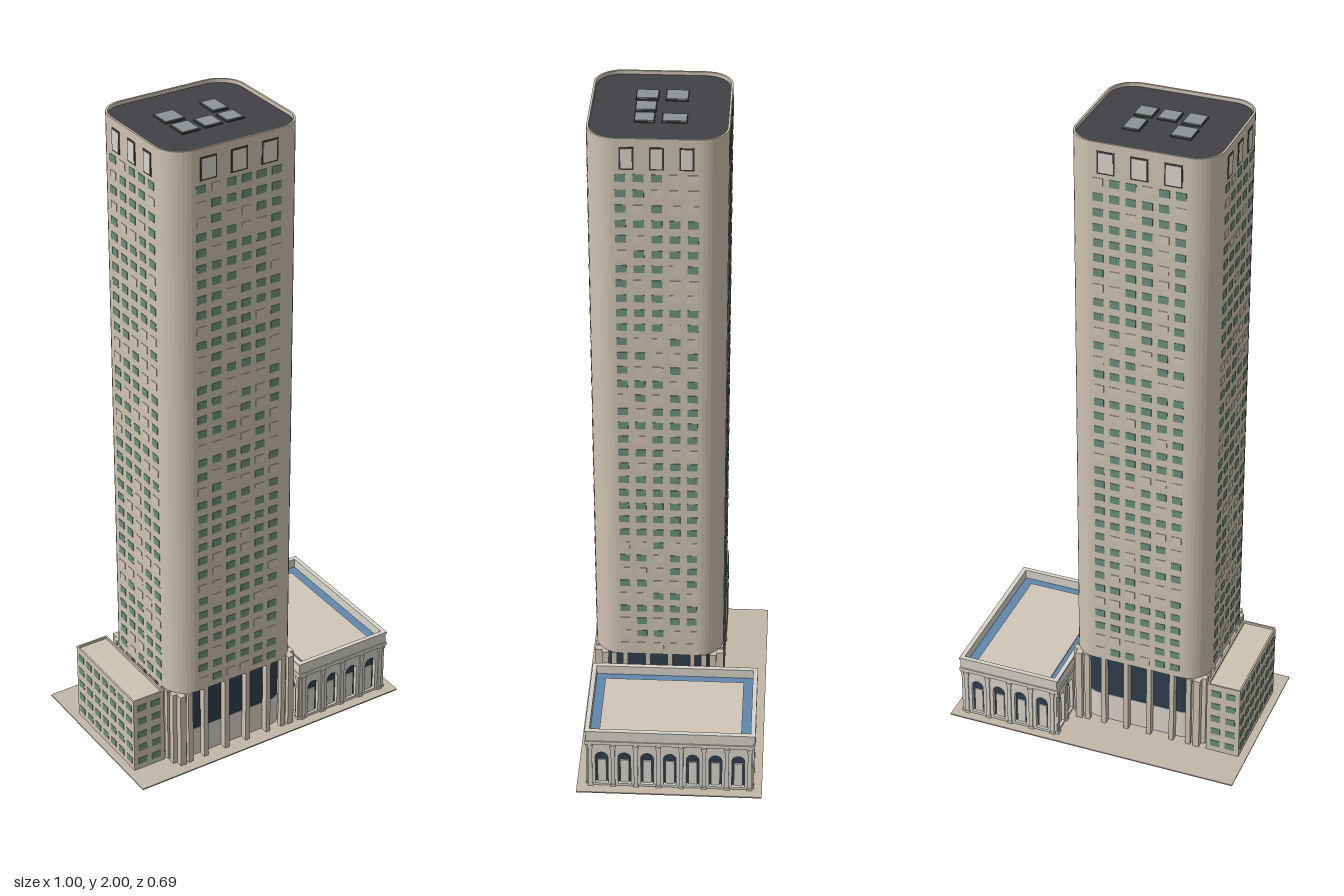
import * as THREE from 'three';
import { mergeGeometries } from 'three/addons/utils/BufferGeometryUtils.js';

const COLORS = {
  stone: 0xcdc3b2, paving: 0xc2b8a9, pale: 0xd8d4cb, terrace: 0xd0c6b8, blue: 0x5f87ad,
  slate: 0x414146, steel: 0x8d9396, glass: 0x2f3d4d, green: 0x6c8f7b, blind: 0xd2c6ba, frame: 0x3c3c3a,
};

// Rounded rectangle outline, w along x and d along z
function roundRect(w, d, r, Type = THREE.Shape) {
  const s = new Type(), a = w / 2, b = d / 2;
  s.moveTo(-a + r, -b);
  s.lineTo(a - r, -b); s.absarc(a - r, -b + r, r, -Math.PI / 2, 0);
  s.lineTo(a, b - r); s.absarc(a - r, b - r, r, 0, Math.PI / 2);
  s.lineTo(-a + r, b); s.absarc(-a + r, b - r, r, Math.PI / 2, Math.PI);
  s.lineTo(-a, -b + r); s.absarc(-a + r, -b + r, r, Math.PI, Math.PI * 1.5);
  return s;
}

export function createModel() {
  const model = new THREE.Group();
  model.name = 'highRiseBlock';
  const site = new THREE.Group();
  site.name = 'site';
  site.rotation.y = 0.147;
  model.add(site);

  // Pieces are collected by part name and colour, then merged into one mesh each
  const parts = {};
  const add = (name, color, geo, matrix) => {
    const g = geo.index ? geo.toNonIndexed() : geo;
    if (matrix) g.applyMatrix4(matrix);
    (parts[name] ??= { color, list: [] }).list.push(g);
  };
  const box = (name, color, w, h, d, x, y, z, matrix) =>
    add(name, color, new THREE.BoxGeometry(w, h, d).translate(x, y + h / 2, z), matrix);
  const slab = (name, color, shape, h, x, y, z) =>
    add(name, color, new THREE.ExtrudeGeometry(shape, { depth: h, bevelEnabled: false, curveSegments: 5 })
      .rotateX(-Math.PI / 2).translate(x, y, z));
  // Frame of one wall: local x runs along it, z = 0 is its surface and +z points out
  const wall = (x, z, angle, dist) => new THREE.Matrix4().makeTranslation(x, 0, z)
    .multiply(new THREE.Matrix4().makeRotationY(angle))
    .multiply(new THREE.Matrix4().makeTranslation(0, 0, dist));
  const walls = (x, z, w, d) => [0, 1, 2, 3].map((i) => ({
    side: i % 2, index: i, length: i % 2 ? d : w,
    m: wall(x, z, i * Math.PI / 2, (i % 2 ? w : d) / 2),
  }));
  let seed = 7;
  const random = () => (seed = (seed * 16807) % 2147483647) / 2147483647;

  box('basePlate', 'paving', 0.926, 0.004, 0.556, 0, 0, 0);

  // Tower shaft, parapet and roof
  const TX = -0.108, TZ = 0.0485, TW = 0.433, TD = 0.39, R = 0.08, LOBBY = 0.255;
  slab('towerShaft', 'stone', roundRect(TW, TD, R), 1.985 - LOBBY, TX, LOBBY, TZ);
  const rim = roundRect(TW, TD, R);
  rim.holes.push(roundRect(TW - 0.012, TD - 0.012, R - 0.006, THREE.Path));
  slab('towerParapet', 'stone', rim, 0.015, TX, 1.985, TZ);
  slab('towerRoof', 'slate', roundRect(TW - 0.012, TD - 0.012, R - 0.006), 0.004, TX, 1.985, TZ);
  for (const [x, z, w, d] of [[-0.18, 0.006, 0.058, 0.06], [-0.037, 0.006, 0.045, 0.066],
    [-0.181, 0.089, 0.052, 0.06], [-0.108, 0.089, 0.052, 0.055], [-0.038, 0.089, 0.05, 0.053]]) {
    box('roofHatchCurbs', 'frame', w + 0.004, 0.006, d + 0.004, x, 1.987, z);
    box('roofHatches', 'steel', w, 0.009, d, x, 1.987, z);
  }

  // Tower windows, crown openings and lobby columns on all four sides
  for (const { m, side } of walls(TX, TZ, TW, TD)) {
    const cols = side ? 5 : 6, pitch = side ? 0.05 : 0.048;
    for (let r = 0; r < 35; r++) {
      for (let c = 0; c < cols; c++) {
        const lit = random() < 0.3;
        box(lit ? 'blindWindows' : 'towerWindows', lit ? 'blind' : 'green', 0.03, 0.023, 0.003,
          (c - (cols - 1) / 2) * pitch, 0.276 + r * 0.0469, 0, m);
      }
    }
    const [gap, w] = side ? [0.082, 0.04] : [0.097, 0.052];
    for (const k of [-1, 0, 1]) {
      box('crownFrames', 'frame', w, 0.068, 0.003, k * gap, 1.907, 0, m);
      box('crownPanels', 'pale', w - 0.009, 0.059, 0.005, k * gap, 1.9115, 0, m);
    }
    for (const k of [-1.5, -0.5, 0.5, 1.5]) {
      box('lobbyColumns', 'stone', 0.015, LOBBY, 0.022, k * (side ? 0.068 : 0.074), 0, -0.011, m);
    }
  }

  // Recessed lobby: pale plinth below dark glazing
  slab('lobbyPlinth', 'pale', roundRect(TW - 0.05, TD - 0.05, 0.06), 0.1, TX, 0, TZ);
  slab('lobbyGlazing', 'glass', roundRect(TW - 0.052, TD - 0.052, 0.06), LOBBY - 0.1, TX, 0.1, TZ);

  // Stepped corner piers
  for (const sx of [-1, 1]) for (const sz of [-1, 1]) {
    box('cornerPiers', 'stone', 0.03, LOBBY, 0.03, TX + sx * 0.186, 0, TZ + sz * 0.168);
    box('cornerPiers', 'stone', 0.02, LOBBY, 0.02, TX + sx * 0.205, 0, TZ + sz * 0.165);
    box('cornerPiers', 'stone', 0.02, LOBBY, 0.02, TX + sx * 0.192, 0, TZ + sz * 0.187);
    box('cornerPiers', 'stone', 0.016, LOBBY, 0.016, TX + sx * 0.208, 0, TZ + sz * 0.137);
    box('cornerPiers', 'stone', 0.016, LOBBY, 0.016, TX + sx * 0.165, 0, TZ + sz * 0.187);
  }

  // Low annex on the right with rows of windows and a thin parapet
  const AX = -0.3855, AZ = 0.021, AW = 0.105, AD = 0.336;
  box('annexBody', 'stone', AW, 0.25, AD, AX, 0, AZ);
  for (const { m, side, index, length } of walls(AX, AZ, AW, AD)) {
    box('annexParapet', 'stone', length, 0.008, 0.005, 0, 0.249, -0.0025, m);
    if (index === 1) continue;
    const cols = side ? 7 : 2;
    for (let r = 0; r < 5; r++) for (let c = 0; c < cols; c++) {
      box('annexWindows', 'green', 0.03, 0.022, 0.003, (c - (cols - 1) / 2) * 0.047, 0.022 + r * 0.048, 0, m);
    }
  }

  // Arcaded pavilion on the left
  const PX = 0.2735, PZ = -0.002, PW = 0.314, PD = 0.494, WALL = 0.165;
  box('pavilionCore', 'glass', PW - 0.024, WALL, PD - 0.024, PX, 0, PZ);
  box('pavilionDeck', 'blue', PW, 0.02, PD, PX, WALL, PZ);
  box('pavilionTerrace', 'terrace', 0.242, 0.006, 0.423, PX - 0.0015, 0.183, PZ);
  for (const { m, side, length } of walls(PX, PZ, PW, PD)) {
    const bays = side ? 7 : 4, pitch = side ? 0.068 : 0.0715;
    const face = new THREE.Shape();
    face.moveTo(-length / 2, 0); face.lineTo(length / 2, 0);
    face.lineTo(length / 2, WALL); face.lineTo(-length / 2, WALL);
    for (let i = 0; i < bays; i++) {
      // Arched opening with a pale panel inside
      const x = (i - (bays - 1) / 2) * pitch, r = 0.019;
      const arch = new THREE.Path();
      arch.moveTo(x - r, 0.012); arch.lineTo(x + r, 0.012); arch.lineTo(x + r, 0.113);
      arch.absarc(x, 0.113, r, 0, Math.PI); arch.lineTo(x - r, 0.012);
      face.holes.push(arch);
      box('archPanels', 'pale', 0.026, 0.085, 0.006, x, 0.012, -0.011, m);
    }
    add('pavilionArcade', 'pale', new THREE.ExtrudeGeometry(face,
      { depth: 0.012, bevelEnabled: false, curveSegments: 8 }).translate(0, 0, -0.012), m);
    for (let i = 0; i <= bays; i++) {
      const x = (i - bays / 2) * pitch;
      box('pilasters', 'pale', 0.012, WALL, 0.008, x, 0, 0, m);
      box('pilasters', 'pale', 0.017, 0.01, 0.011, x, 0.15, 0, m);
      box('pilasters', 'pale', 0.017, 0.012, 0.011, x, 0, 0, m);
    }
    // Cornice and parapet
    box('pavilionCornice', 'pale', length + 0.012, 0.012, 0.016, 0, WALL, -0.002, m);
    box('pavilionParapet', 'pale', length + 0.006, 0.036, 0.011, 0, 0.177, -0.0025, m);
    box('pavilionCoping', 'pale', length + 0.012, 0.006, 0.014, 0, 0.209, -0.001, m);
  }

  for (const [name, { color, list }] of Object.entries(parts)) {
    const mesh = new THREE.Mesh(mergeGeometries(list), new THREE.MeshStandardMaterial({ color: COLORS[color] }));
    mesh.name = name;
    site.add(mesh);
  }
  return model;
}
